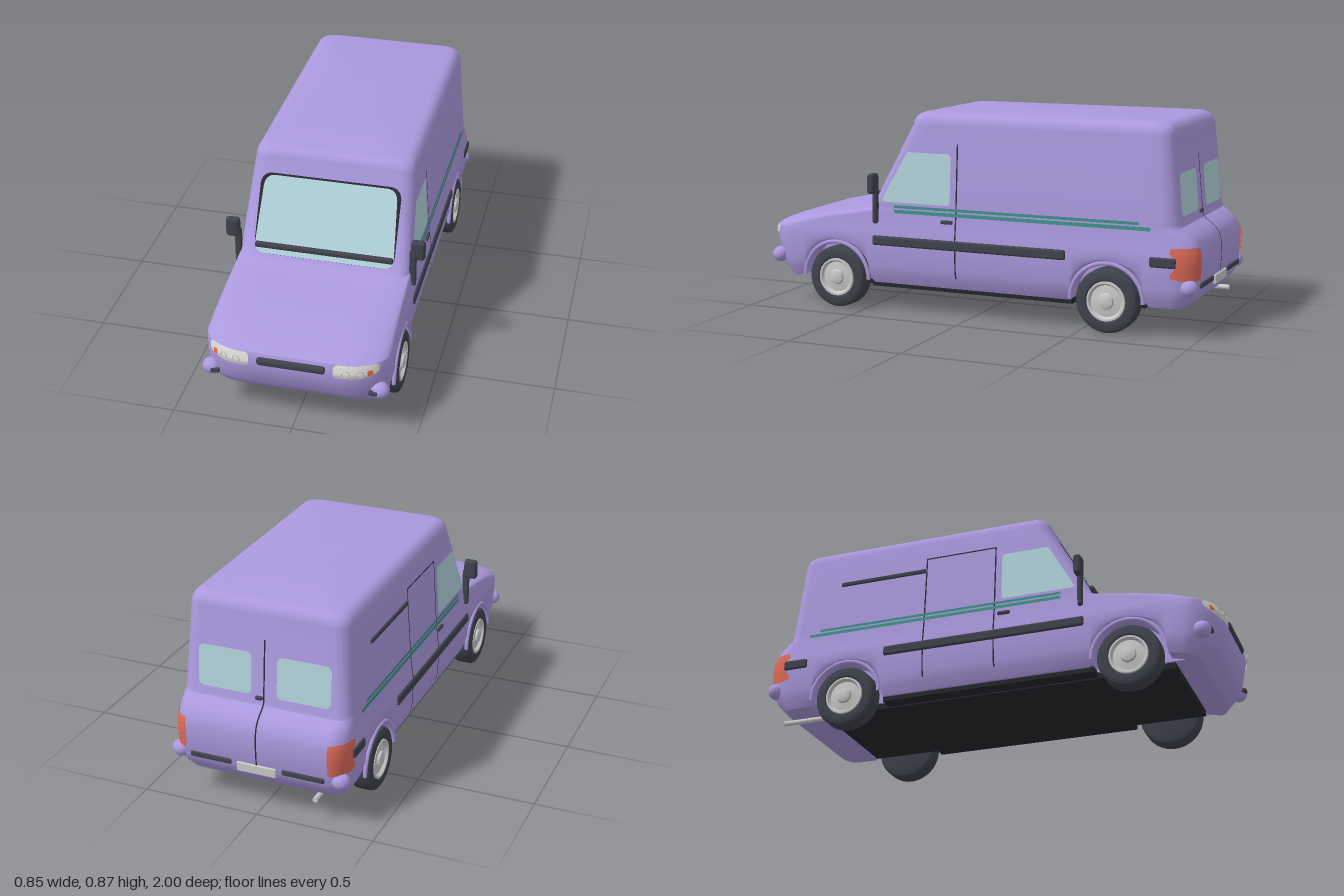
import * as THREE from 'three';
import { toCreasedNormals } from 'three/addons/utils/BufferGeometryUtils.js';
import { RoundedBoxGeometry } from 'three/addons/geometries/RoundedBoxGeometry.js';

const mat = (name, color, side = THREE.FrontSide) => {
  const m = new THREE.MeshStandardMaterial({ color, side });
  m.name = name;
  return m;
};

// Plan outline by height: y, half width, front z, front corner start, rear z, rear corner start, corner widths front and rear
const ROWS = [
  [0.12, 0.345, 0.90, 0.85, -0.93, -0.88, 0.12, 0.08],
  [0.16, 0.366, 0.945, 0.85, -0.965, -0.88, 0.15, 0.08],
  [0.20, 0.376, 0.975, 0.85, -0.985, -0.88, 0.18, 0.08],
  [0.31, 0.381, 1.0, 0.85, -0.99, -0.88, 0.19, 0.08],
  [0.345, 0.379, 0.985, 0.85, -0.988, -0.88, 0.19, 0.08],
  [0.36, 0.376, 0.955, 0.82, -0.985, -0.88, 0.18, 0.08],
  [0.385, 0.373, 0.89, 0.74, -0.978, -0.87, 0.18, 0.08],
  [0.41, 0.37, 0.77, 0.62, -0.96, -0.86, 0.18, 0.08],
  [0.43, 0.368, 0.60, 0.51, -0.935, -0.85, 0.14, 0.07],
  [0.445, 0.366, 0.495, 0.43, -0.91, -0.84, 0.08, 0.06],
  [0.46, 0.365, 0.474, 0.42, -0.905, -0.84, 0.06, 0.06],
  [0.815, 0.342, 0.288, 0.23, -0.872, -0.81, 0.06, 0.06],
];
for (let i = 1; i <= 5; i++) { // rounded roof edge
  const a = (i / 5) * Math.PI / 2, d = 0.05 * (1 - Math.cos(a));
  ROWS.push([0.815 + 0.052 * Math.sin(a), 0.342 - d, 0.288 - d, 0.23 - d * 0.6, -0.872 + d, -0.81 + d * 0.6, 0.06, 0.06]);
}
const rowAt = y => {
  let i = 0;
  while (i < ROWS.length - 2 && ROWS[i + 1][0] < y) i++;
  const t = (y - ROWS[i][0]) / (ROWS[i + 1][0] - ROWS[i][0]);
  return ROWS[i].map((v, k) => v + (ROWS[i + 1][k] - v) * t);
};
const endZ = (x, w, z, zs, rx) => {
  const u = Math.min(1, Math.max(0, (Math.abs(x) - (w - rx)) / rx));
  return zs + (z - zs) * Math.sqrt(1 - u * u);
};
// Mapping of flat coordinates onto the body skin
const onFront = off => (x, y) => { const r = rowAt(y); return [x, y, endZ(x, r[1], r[2], r[3], r[6]) + off]; };
const onRear = off => (x, y) => { const r = rowAt(y); return [x, y, endZ(x, r[1], r[4], r[5], r[7]) - off]; };
const onSide = (s, off) => (z, y) => [s * (rowAt(y)[1] + off), y, z];

const WHEELS = [0.633, -0.617], WHEEL_Y = 0.134, ARCH_R = 0.157;

function bodyGeometry() {
  // Side stations, dense around the wheel arches: [z, lower edge y]
  const side = [[0.85, 0.12]];
  for (const zc of WHEELS) {
    for (let i = 0; i <= 16; i++) {
      const a = (i / 16) * Math.PI;
      side.push([zc + ARCH_R * Math.cos(a), WHEEL_Y + ARCH_R * Math.sin(a)]);
    }
    if (zc > 0) for (const z of [0.46, 0.2, 0, -0.2, -0.45]) side.push([z, 0.12]);
    else side.push([-0.79, 0.12]);
  }
  side.push([-0.88, 0.12]);
  const C = 10;
  const ring = (row, inset, flat) => {
    const [y, w, zF, sF, zR, sR, rF, rR] = row, half = [];
    for (let i = 0; i < 3; i++) half.push([(w - rF) * i / 3, y, zF]);
    for (let i = 0; i < C; i++) {
      const a = (i / C) * Math.PI / 2;
      half.push([w - rF + rF * Math.sin(a), y, sF + (zF - sF) * Math.cos(a)]);
    }
    for (const [z, low] of side) {
      const t = (0.85 - z) / 1.73;
      const yy = flat || y >= 0.31 ? y : low + (y - 0.12) * (0.31 - low) / 0.19;
      half.push([w, yy, sF + (sR - sF) * t]);
    }
    for (let i = 1; i <= C; i++) {
      const a = (i / C) * Math.PI / 2;
      half.push([w - rR + rR * Math.cos(a), y, sR + (zR - sR) * Math.sin(a)]);
    }
    half.push([0, y, zR]);
    if (inset) half.forEach(p => { p[0] = Math.min(p[0], 0.28); });
    return [...half, ...half.slice(1, -1).reverse().map(([x, yy, z]) => [-x, yy, z])];
  };
  // Two inner rings make the wheel wells, the rest is the outer skin
  const rings = [ring(ROWS[0], true, true), ring(ROWS[0], true, false), ...ROWS.map(r => ring(r, false, false))];
  const n = rings[0].length, pos = rings.flat(2), idx = [];
  for (let i = 0; i < rings.length - 1; i++) for (let j = 0; j < n; j++) {
    const a = i * n + j, b = i * n + (j + 1) % n;
    idx.push(a, b, b + n, a, b + n, a + n);
  }
  const top = (rings.length - 1) * n, c = rings.length * n;
  pos.push(0, 0.12, 0, 0, 0.868, -0.28);
  for (let j = 0; j < n; j++) {
    const k = (j + 1) % n;
    idx.push(k, j, c, top + j, top + k, c + 1);
  }
  const g = new THREE.BufferGeometry();
  g.setAttribute('position', new THREE.Float32BufferAttribute(pos, 3));
  g.setIndex(idx);
  return toCreasedNormals(g, 0.65);
}

// Thin plate following the skin, with rounded corners; lo and hi may be functions of u
function plate(map, u0, u1, lo, hi, r = 0, nu = 24, nv = 8) {
  const g = new THREE.PlaneGeometry(1, 1, nu, nv), p = g.attributes.position;
  const f = (e, u) => (typeof e === 'function' ? e(u) : e);
  for (let i = 0; i < p.count; i++) {
    const t = (1 - Math.cos((p.getX(i) + 0.5) * Math.PI)) / 2, v = p.getY(i) + 0.5;
    const u = u0 + (u1 - u0) * t, d = Math.min(Math.abs(u - u0), Math.abs(u1 - u));
    const cut = d < r ? r - Math.sqrt(r * r - (r - d) ** 2) : 0;
    const a = f(lo, u) + cut, b = Math.max(a, f(hi, u) - cut);
    p.setXYZ(i, ...map(u, a + (b - a) * v));
  }
  g.computeVertexNormals();
  return g;
}

export function createModel() {
  const M = {
    paint: mat('purple paint', 0xab99de),
    glass: mat('pale blue glass', 0xb2d3db, THREE.DoubleSide),
    trim: mat('dark grey trim', 0x40434d, THREE.DoubleSide),
    floor: mat('black underside', 0x24262a),
    line: mat('panel gap', 0x2b2933, THREE.DoubleSide),
    teal: mat('teal stripe', 0x3f8f86, THREE.DoubleSide),
    lamp: mat('lamp white', 0xd6d5d0, THREE.DoubleSide),
    metal: mat('light metal', 0xc9c9c9, THREE.DoubleSide),
    red: mat('tail light red', 0xdb6a58, THREE.DoubleSide),
    orange: mat('indicator orange', 0xe0643c, THREE.DoubleSide),
  };
  const root = new THREE.Group();
  root.name = 'van';
  const add = (name, geo, m, x = 0, y = 0, z = 0, parent = root) => {
    const mesh = new THREE.Mesh(geo, m);
    mesh.name = name;
    mesh.position.set(x, y, z);
    parent.add(mesh);
    return mesh;
  };
  const rbox = (w, h, d, r) => new RoundedBoxGeometry(w, h, d, 3, r);

  add('body', bodyGeometry(), M.paint);
  add('floor', new THREE.BoxGeometry(0.54, 0.03, 1.55), M.floor, 0, 0.11, 0.025);
  add('sills', new THREE.BoxGeometry(0.67, 0.022, 0.93), M.floor, 0, 0.112, 0.01);
  add('exhaust', new THREE.CylinderGeometry(0.011, 0.011, 0.21, 16).rotateX(Math.PI / 2), M.metal, -0.24, 0.103, -0.86);

  // Windscreen, wiper and grille
  add('windscreenSeal', plate(onFront(0.003), -0.304, 0.304, 0.468, 0.769, 0.045), M.line).scale.x = 0.985;
  const narrow = (x, y) => onFront(0.006)(x * (1 - (y - 0.47) * 0.2), y);
  add('windscreen', plate(narrow, -0.299, 0.299, 0.47, 0.763, 0.04), M.glass);
  add('wiper', rbox(0.59, 0.024, 0.022, 0.008), M.trim, 0, 0.503, 0.461);
  add('grille', rbox(0.28, 0.034, 0.03, 0.013), M.trim, 0, 0.315, 0.992);

  // Rear doors and bumper
  add('rearDoorGap', plate(onRear(0.003), -0.003, 0.003, 0.22, 0.72, 0, 2, 30), M.line);
  add('rearHandle', rbox(0.03, 0.016, 0.014, 0.005), M.trim, 0.02, 0.475, -0.908);
  add('numberPlate', rbox(0.17, 0.04, 0.012, 0.004), M.metal, 0, 0.2, -0.988);

  for (const s of [1, -1]) {
    const S = s > 0 ? 'left' : 'right';
    const sp = (name, off, m, ...a) => add(S + name, plate(onSide(s, off), ...a), m);

    // Side glass, stripes and door gaps
    sp('DoorWindow', 0.004, M.glass, 0.088, 0.412, 0.48, z => Math.min(0.698, 0.485 + (0.412 - z) * 1.8), 0.015);
    sp('UpperStripe', 0.004, M.teal, -0.75, 0.35, 0.456, 0.468);
    sp('LowerStripe', 0.004, M.teal, -0.8, 0.35, 0.434, 0.449);
    sp('DoorGap', 0.003, M.line, 0.055, 0.061, 0.17, 0.74, 0, 2, 30);
    if (s < 0) {
      sp('SlidingDoorGap', 0.003, M.line, -0.263, -0.257, 0.17, 0.74, 0, 2, 30);
      sp('SlidingDoorTop', 0.003, M.line, -0.26, 0.058, 0.735, 0.741);
      add('slidingDoorRail', rbox(0.012, 0.018, 0.4, 0.004), M.trim, -0.353, 0.68, -0.465);
    }
    add(S + 'DoorHandle', rbox(0.014, 0.016, 0.055, 0.005), M.trim, s * 0.372, 0.41, 0.1);
    add(S + 'Moulding', rbox(0.02, 0.042, 0.89, 0.009), M.trim, s * 0.38, 0.312, 0.005);
    add(S + 'RearMoulding', rbox(0.02, 0.042, 0.11, 0.009), M.trim, s * 0.378, 0.312, -0.855);

    // Mirror on its arm
    add(S + 'MirrorArm', rbox(0.03, 0.17, 0.022, 0.009), M.trim, s * 0.374, 0.47, 0.437);
    add(S + 'Mirror', rbox(0.06, 0.088, 0.034, 0.014), M.trim, s * 0.395, 0.56, 0.438);

    // Front lamps
    const front = (u, y) => onFront(0.005)(s * u, y);
    add(S + 'Headlight', plate(front, 0.172, 0.345, x => 0.29 + Math.max(0, x - 0.28) * 0.25, 0.346, 0.015), M.lamp);
    const glow = (u, y) => onFront(0.008)(s * u, y);
    add(S + 'Indicator', plate(glow, 0.305, 0.325, 0.306, 0.326, 0.006), M.orange);
    for (const x of [0.222, 0.276]) {
      const z = onFront(0.006)(x, 0.315)[2];
      add(S + 'HeadlightRing', new THREE.TorusGeometry(0.015, 0.002, 6, 24), M.metal, s * x, 0.315, z).rotation.y = s * (x - 0.17) * 4;
    }

    // Rear windows and lamps
    add(S + 'RearWindow', plate(onRear(0.004), s * 0.055, s * 0.285, 0.485, 0.66, 0.025), M.glass);
    add(S + 'TailLight', plate(onRear(0.006), s * 0.305, s * 0.379, 0.24, 0.372, 0.012), M.red);
    add(S + 'BumperStrip', rbox(0.18, 0.022, 0.016, 0.006), M.trim, s * 0.2, 0.212, -0.986);

    // Bumper ends
    for (const [end, z] of [['Front', 0.932], ['Rear', -0.957]]) {
      add(S + end + 'BumperEnd', new THREE.SphereGeometry(1, 24, 16), M.paint, s * 0.347, 0.21, z).scale.set(0.039, 0.035, 0.036);
    }
    add(S + 'FogSlot', rbox(0.036, 0.017, 0.02, 0.005), M.trim, s * 0.325, 0.212, 0.962);

    // Wheels and arch lips
    WHEELS.forEach((z, i) => {
      const wheel = new THREE.Group();
      wheel.name = S + (i ? 'Rear' : 'Front') + 'Wheel';
      wheel.position.set(s * 0.337, WHEEL_Y, z);
      wheel.rotation.z = -s * Math.PI / 2;
      root.add(wheel);
      const lathe = pts => toCreasedNormals(new THREE.LatheGeometry(pts.map(p => new THREE.Vector2(...p)), 40), 0.6);
      add('tyre', lathe([[0, -0.046], [0.115, -0.046], [0.128, -0.04], [0.134, -0.028], [0.134, 0.028],
        [0.128, 0.04], [0.115, 0.047], [0.088, 0.045], [0.078, 0.03]]), M.trim, 0, 0, 0, wheel);
      add('rim', lathe([[0.084, 0.03], [0.082, 0.046], [0.074, 0.046], [0.066, 0.033], [0.034, 0.038],
        [0.03, 0.048], [0.018, 0.052], [0, 0.053]]), M.metal, 0, 0, 0, wheel);
      add(S + 'ArchLip', new THREE.TorusGeometry(ARCH_R, 0.009, 8, 32, Math.PI).rotateY(Math.PI / 2), M.paint, s * 0.374, WHEEL_Y, z);
    });
  }
  return root;
}
